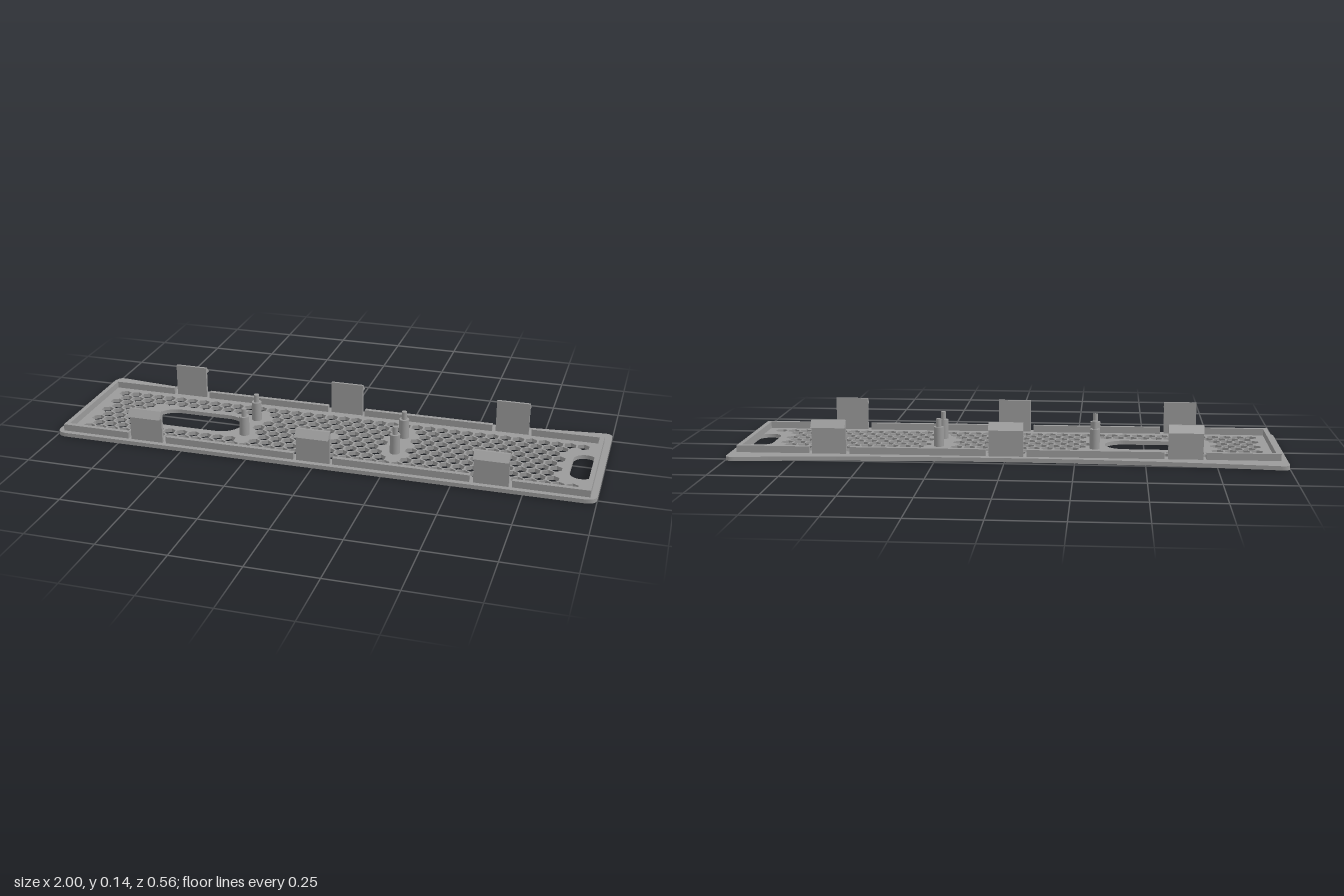
import * as THREE from 'three';

const T = 0.015;           // plate thickness
const ZC = 0.03;           // centre line of the inner frame
const PITCH = 0.0478;      // honeycomb spacing

const grey = new THREE.MeshStandardMaterial({ color: 0x9a9a9a });
grey.name = 'grey plastic';

// Rounded slot as a hole path (shape y is -z)
function slot(cx, cz, w, d) {
  const r = Math.min(w, d) / 2, a = w / 2 - r, b = d / 2 - r;
  const p = new THREE.Path();
  if (w > d) {
    p.absarc(cx + a, -cz, r, -Math.PI / 2, Math.PI / 2);
    p.absarc(cx - a, -cz, r, Math.PI / 2, Math.PI * 1.5);
  } else {
    p.absarc(cx, -cz + b, r, 0, Math.PI);
    p.absarc(cx, -cz - b, r, Math.PI, Math.PI * 2);
  }
  p.closePath();
  return p;
}

function hexHole(x, z, r) {
  const pts = [];
  for (let i = 0; i < 6; i++) {
    const a = Math.PI / 6 + i * Math.PI / 3;
    pts.push(new THREE.Vector2(x + r * Math.cos(a), -z + r * Math.sin(a)));
  }
  return new THREE.Path(pts);
}

const posts = [-0.318, 0.258].flatMap(x => [-0.04, 0.1].map(z => [x, z]));

// Places where the honeycomb is left solid
function blocked(x, z) {
  const dz = Math.abs(z - ZC);
  if (Math.hypot(x, dz) < 0.02) return true;
  if (x > -0.755 && x < -0.33 && dz < 0.1) return true;
  if (x > 0.85 && dz < 0.14) return true;
  if (Math.abs(x - 0.258) < 0.05 && dz < 0.05) return true;
  return posts.some(([px, pz]) => Math.hypot(x - px, z - pz) < 0.056);
}

export function createModel() {
  const group = new THREE.Group();
  const add = (name, geometry, x = 0, y = 0, z = 0) => {
    const m = new THREE.Mesh(geometry, grey);
    m.name = name;
    m.position.set(x, y, z);
    group.add(m);
    return m;
  };

  // Base plate with rounded corners and a bowed-in back edge
  const s = new THREE.Shape();
  s.moveTo(-0.96, -0.28);
  s.lineTo(0.96, -0.28);
  s.quadraticCurveTo(1, -0.28, 1, -0.24);
  s.lineTo(1, 0.255);
  s.quadraticCurveTo(1, 0.284, 0.965, 0.28);
  s.quadraticCurveTo(0, 0.172, -0.965, 0.28);
  s.quadraticCurveTo(-1, 0.284, -1, 0.255);
  s.lineTo(-1, -0.24);
  s.quadraticCurveTo(-1, -0.28, -0.96, -0.28);

  s.holes.push(slot(-0.53, ZC, 0.35, 0.15), slot(0.928, ZC, 0.086, 0.2));
  for (let row = 0; row < 9; row++) {
    const odd = row % 2;
    const z = ZC + (row - 4) * PITCH * 0.866;
    for (let i = 0; i < 39 - odd; i++) {
      const x = (i - 19 + odd / 2) * PITCH;
      if (!blocked(x, z)) s.holes.push(hexHole(x, z, 0.0238));
    }
  }
  const plate = new THREE.ExtrudeGeometry(s, { depth: T, bevelEnabled: false, curveSegments: 16 });
  plate.rotateX(-Math.PI / 2);
  add('ventilated plate', plate);

  // Raised frame, broken beside each clip
  const wt = 0.017, wh = 0.025, wy = T + wh / 2;
  const runs = [[-0.977, -0.715], [-0.567, -0.077], [0.069, 0.562], [0.71, 0.977]];
  for (const z of [-0.2 + wt / 2, 0.26 - wt / 2]) {
    for (const [a, b] of runs) {
      add('long frame wall', new THREE.BoxGeometry(b - a, wh, wt), (a + b) / 2, wy, z);
    }
  }
  for (const side of [-1, 1]) {
    add('end frame wall', new THREE.BoxGeometry(wt, wh, 0.46 - 2 * wt), side * (0.977 - wt / 2), wy, ZC);
  }

  // Snap clips with hooked tips pointing outward
  const clipW = 0.124;
  const profile = new THREE.Shape([
    [-0.012, T], [0, T], [0, 0.113], [0.021, 0.113], [-0.002, 0.138], [-0.012, 0.138],
  ].map(([a, b]) => new THREE.Vector2(a, b)));
  const clip = new THREE.ExtrudeGeometry(profile, { depth: clipW, bevelEnabled: false });
  clip.translate(0, 0, -clipW / 2);
  clip.rotateY(-Math.PI / 2);
  for (const x of [-0.642, -0.003, 0.637]) {
    add('front snap clip', clip, x, 0, 0.26);
    add('back snap clip', clip, x, 0, -0.2).rotation.y = Math.PI;
  }

  // Stepped mounting posts
  for (const [x, z] of posts) {
    add('mounting post', new THREE.CylinderGeometry(0.0185, 0.0185, 0.088 - T, 24), x, (0.088 + T) / 2, z);
    add('post pin', new THREE.CylinderGeometry(0.0095, 0.0095, 0.03, 20), x, 0.103, z);
  }
  return group;
}
